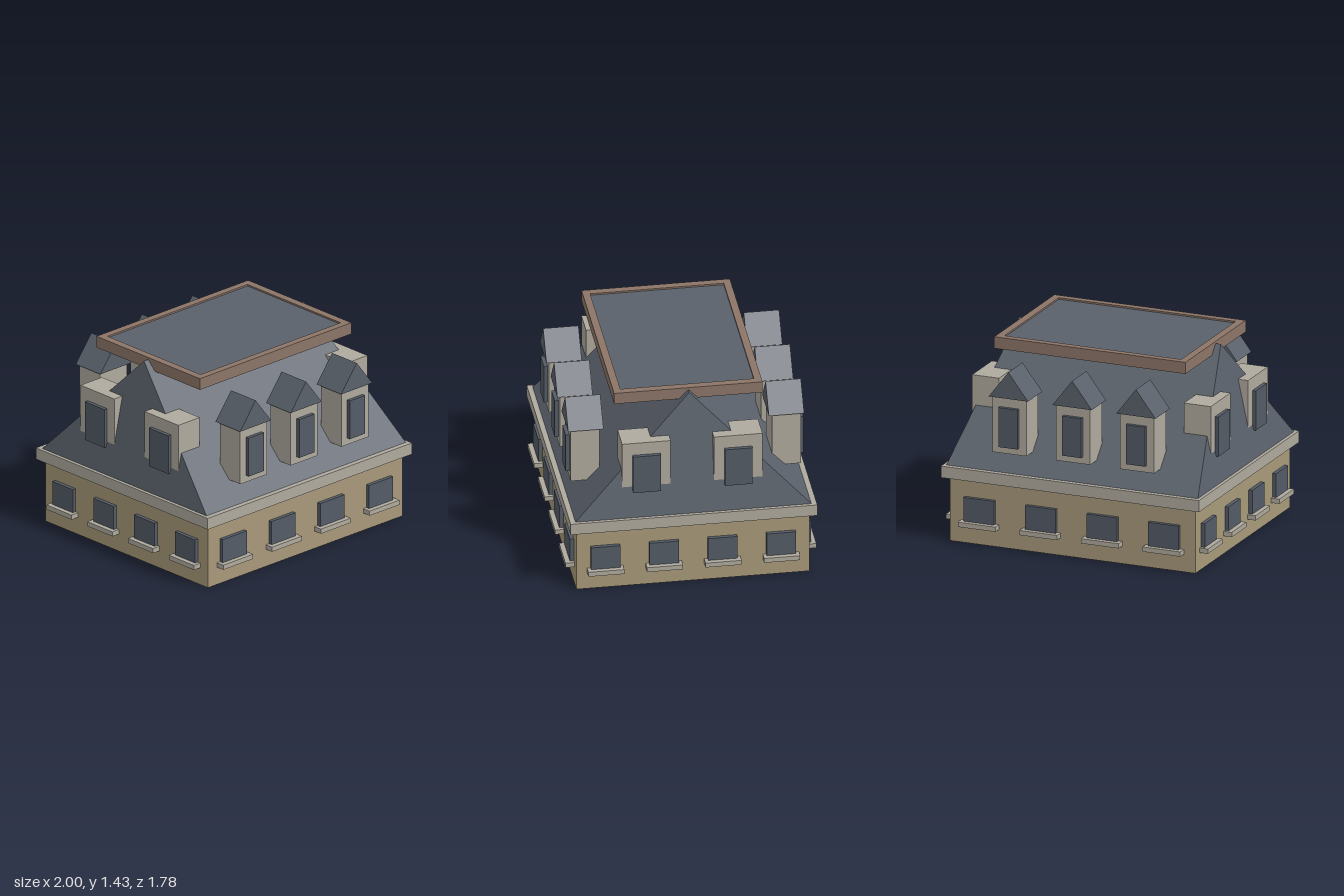
import * as THREE from 'three';

const mat = (name, color) => {
  const m = new THREE.MeshStandardMaterial({ color });
  m.name = name;
  return m;
};

export function createModel() {
  const house = new THREE.Group();
  house.name = 'mansardHouse';
  const wall = mat('tan wall', 0xa8997a);
  const stone = mat('pale stone', 0xafaa9e);
  const slate = mat('slate', 0x5a616b);
  const glass = mat('dark window', 0x545b66);
  const brown = mat('brown parapet', 0x8c7568);

  const add = (parent, name, geometry, material) => {
    const mesh = new THREE.Mesh(geometry, material);
    mesh.name = name;
    parent.add(mesh);
    return mesh;
  };
  // box given by its limits on each axis
  const box = (parent, name, material, [x0, x1], [y0, y1], [z0, z1]) => {
    const mesh = add(parent, name, new THREE.BoxGeometry(x1 - x0, y1 - y0, z1 - z0), material);
    mesh.position.set((x0 + x1) / 2, (y0 + y1) / 2, (z0 + z1) / 2);
    return mesh;
  };

  // walls and cornice
  box(house, 'walls', wall, [-0.937, 0.937], [0, 0.47], [-0.825, 0.825]);
  box(house, 'cornice', stone, [-0.985, 0.985], [0.47, 0.555], [-0.873, 0.873]);

  // main roof: a prism whose ends lean inwards
  const section = new THREE.Shape([
    new THREE.Vector2(-0.835, 0.555), new THREE.Vector2(0.835, 0.555), new THREE.Vector2(0, 1.42),
  ]);
  const roof = new THREE.ExtrudeGeometry(section, { depth: 2, bevelEnabled: false });
  roof.translate(0, 0, -1).rotateY(Math.PI / 2);
  const p = roof.attributes.position;
  for (let i = 0; i < p.count; i++) {
    const t = (p.getY(i) - 0.555) / 0.865;
    p.setX(i, Math.sign(p.getX(i)) * (0.96 - 0.19 * t));
  }
  roof.computeVertexNormals();
  add(house, 'mainRoof', roof, slate);

  // roof deck with its parapet frame
  box(house, 'roofDeck', slate, [-0.68, 0.68], [1.405, 1.423], [-0.48, 0.48]);
  const frame = new THREE.Shape([
    new THREE.Vector2(-0.73, -0.525), new THREE.Vector2(0.73, -0.525),
    new THREE.Vector2(0.73, 0.525), new THREE.Vector2(-0.73, 0.525),
  ]);
  frame.holes.push(new THREE.Path([
    new THREE.Vector2(-0.675, -0.473), new THREE.Vector2(-0.675, 0.473),
    new THREE.Vector2(0.675, 0.473), new THREE.Vector2(0.675, -0.473),
  ]));
  const parapet = add(house, 'parapet',
    new THREE.ExtrudeGeometry(frame, { depth: 0.085, bevelEnabled: false }), brown);
  parapet.rotation.x = -Math.PI / 2;
  parapet.position.y = 1.35;

  // each facade is built facing +z and then turned into place
  const facade = (name, angle, wallZ, centres, windowW, sillW) => {
    const side = new THREE.Group();
    side.name = name;
    side.rotation.y = angle;
    for (const x of centres) {
      box(side, 'window', glass, [x - windowW / 2, x + windowW / 2], [0.16, 0.34], [wallZ - 0.02, wallZ + 0.028]);
      box(side, 'windowSill', stone, [x - sillW / 2, x + sillW / 2], [0.13, 0.165], [wallZ - 0.02, wallZ + 0.063]);
    }
    house.add(side);
    return side;
  };

  // gable for the front and back dormers
  const gable = new THREE.ExtrudeGeometry(new THREE.Shape([
    new THREE.Vector2(-0.15, 1.1), new THREE.Vector2(0.15, 1.1), new THREE.Vector2(0, 1.295),
  ]), { depth: 0.25, bevelEnabled: false });

  for (const k of [0, 1]) {
    const long = facade(k ? 'backFacade' : 'frontFacade', k * Math.PI, 0.825, [-0.705, -0.235, 0.235, 0.705], 0.232, 0.288);
    for (const x of [-0.487, 0, 0.487]) {
      const dormer = new THREE.Group();
      dormer.name = 'gabledDormer';
      dormer.position.x = x;
      box(dormer, 'dormerBody', stone, [-0.13, 0.13], [0.69, 1.1], [0.61, 0.815]);
      box(dormer, 'dormerWindow', glass, [-0.073, 0.073], [0.74, 1.03], [0.8, 0.842]);
      add(dormer, 'dormerRoof', gable, slate).position.z = 0.585;
      long.add(dormer);
    }

    const end = facade(k ? 'rightFacade' : 'leftFacade', Math.PI / 2 + k * Math.PI, 0.937, [-0.622, -0.207, 0.207, 0.622], 0.207, 0.255);
    for (const x of [-0.325, 0.325]) {
      const dormer = new THREE.Group();
      dormer.name = 'flatDormer';
      dormer.position.x = x;
      box(dormer, 'dormerBody', stone, [-0.172, 0.172], [0.69, 1.125], [0.705, 0.911]);
      box(dormer, 'dormerWindow', glass, [-0.098, 0.098], [0.74, 1.03], [0.9, 0.938]);
      end.add(dormer);
    }
  }
  return house;
}
